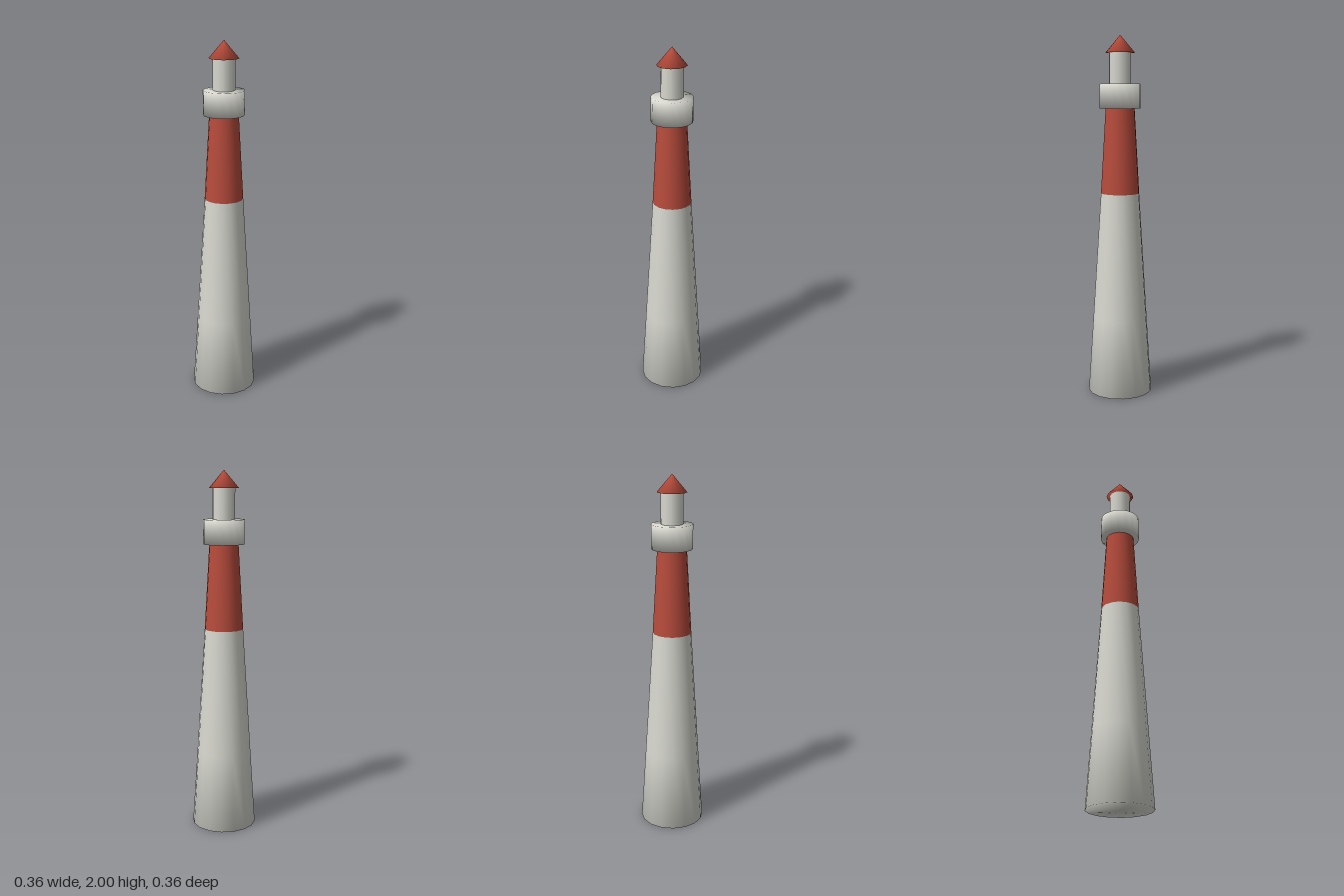
import * as THREE from 'three';

export function createModel() {
  const white = new THREE.MeshStandardMaterial({ color: 0xd8d8d0 });
  white.name = 'white paint';
  const red = new THREE.MeshStandardMaterial({ color: 0xb84c3c });
  red.name = 'red paint';

  const model = new THREE.Group();
  model.name = 'lighthouse';

  // Turned part from [radius, height] points, listed bottom to top
  function turned(name, profile, sides, material) {
    const points = profile.map(([r, y]) => new THREE.Vector2(r, y));
    const mesh = new THREE.Mesh(new THREE.LatheGeometry(points, sides), material);
    mesh.name = name;
    model.add(mesh);
  }

  // Tapered tower: white lower shaft closed underneath, red upper band
  turned('lowerTower', [[0, 0], [0.18, 0], [0.152, 0.43], [0.107, 1.137]], 16, white);
  turned('upperTower', [[0.107, 1.137], [0.08, 1.605]], 16, red);

  // Gallery drum with softly shaded rims
  turned('gallery', [[0, 1.605], [0.113, 1.605], [0.113, 1.738], [0, 1.738]], 16, white);

  // Lantern room and its pointed roof
  turned('lantern', [[0.061, 1.735], [0.061, 1.905]], 12, white);
  turned('roof', [[0, 1.905], [0.081, 1.905], [0, 2]], 12, red);

  return model;
}
